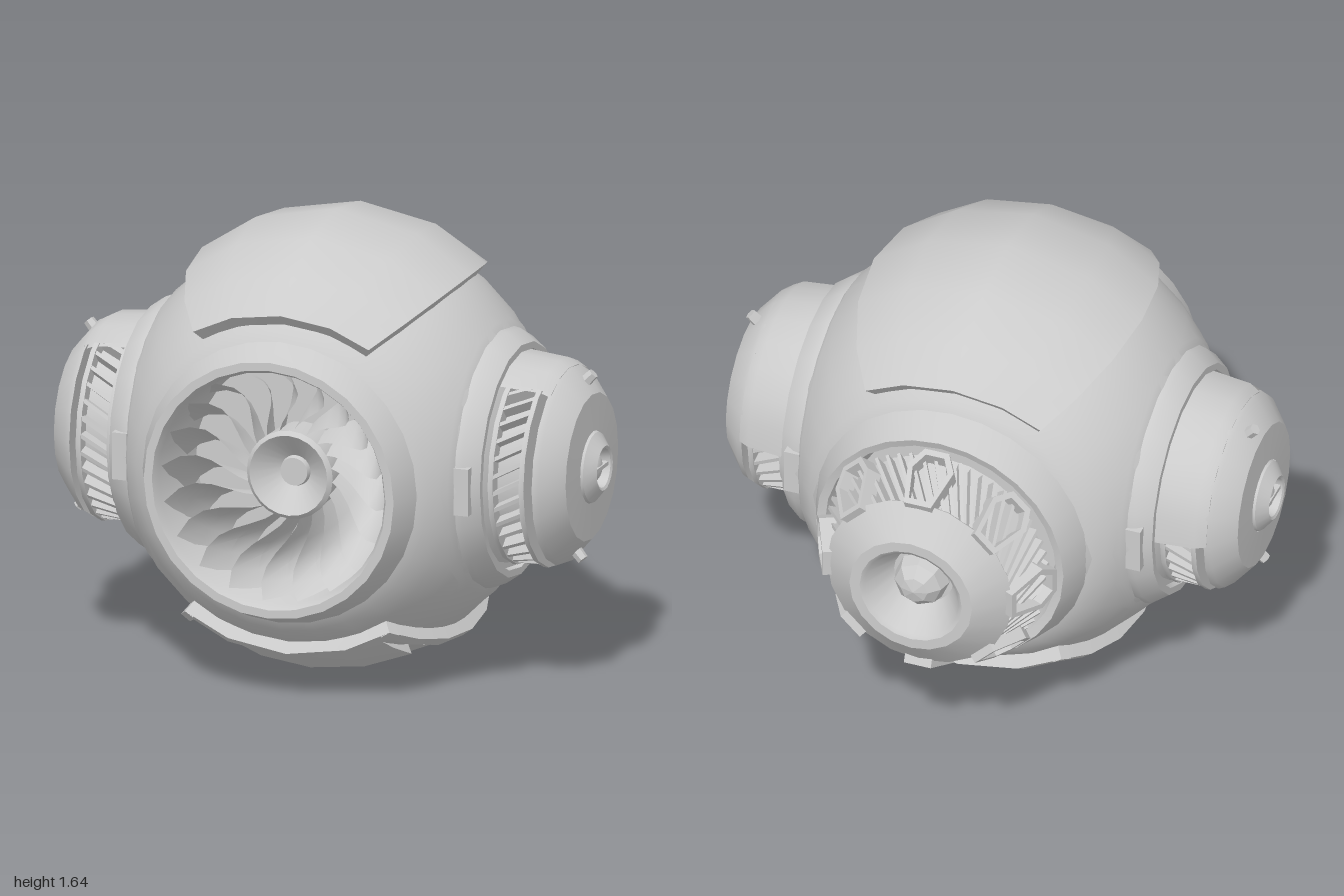
import * as THREE from 'three';
import { toCreasedNormals } from 'three/addons/utils/BufferGeometryUtils.js';

const material = new THREE.MeshStandardMaterial({ color: 0xcccccc, side: THREE.DoubleSide });
const V = (p) => p.map(([x, y]) => new THREE.Vector2(x, y));
const crease = (g, a = 0.55) => toCreasedNormals(g, a);

// Turned parts: profiles are [radius, distance along the axis]
const turnZ = (profile, sides = 24) => crease(new THREE.LatheGeometry(V(profile), sides).rotateX(Math.PI / 2));
const turnX = (profile, sides = 20, start = 0, sweep = Math.PI * 2) =>
  crease(new THREE.LatheGeometry(V(profile), sides, start, sweep).rotateZ(-Math.PI / 2));

function add(parent, name, geometry) {
  const mesh = new THREE.Mesh(geometry, material);
  mesh.name = name;
  parent.add(mesh);
}

// Mirror a non-indexed geometry in x, keeping the faces outward
function mirrorX(geometry) {
  const g = geometry.clone().scale(-1, 1, 1);
  for (const key of ['position', 'normal']) {
    const a = g.attributes[key].array;
    for (let i = 0; i < a.length; i += 9) {
      for (let k = 0; k < 3; k++) [a[i + k], a[i + 6 + k]] = [a[i + 6 + k], a[i + k]];
    }
  }
  return g;
}

// A box bent onto the sphere: u runs in x, v in z, radius gives the thickness
function shellPatch({ u = [-1, 1], v = [-1, 1], nu = 4, nv = 6, inner, outer, a, ca, b, cb, chevron = 0 }) {
  const g = new THREE.BoxGeometry(2, 1, 2, nu, 1, nv);
  const p = g.attributes.position;
  const q = new THREE.Vector3();
  for (let i = 0; i < p.count; i++) {
    const s = (p.getX(i) + 1) / 2, t = (p.getZ(i) + 1) / 2;
    const U = u[0] + (u[1] - u[0]) * s;
    const W = v[0] + (v[1] - v[0]) * t + chevron * Math.abs(U);
    const r = p.getY(i) > 0 ? outer(U, W, t) : inner;
    q.set(U * a * (1 - ca * W * W), 1, W * b * (1 + cb * U * U)).setLength(r);
    p.setXYZ(i, q.x, q.y, q.z);
  }
  g.computeVertexNormals();
  return crease(g);
}

function buildBody(root) {
  // Hull with front and rear collars
  const R = 0.765, profile = [[0, -0.52], [0.38, -0.52], [0.43, -0.67], [0.46, -0.68], [0.505, -0.56]];
  for (let i = 0; i <= 14; i++) {
    const t = -0.79 + (1.57 * i) / 14;
    profile.push([R * Math.cos(t), R * Math.sin(t)]);
  }
  profile.push([0.51, 0.56], [0.465, 0.67], [0.435, 0.67], [0.42, 0.64], [0.4, 0.32], [0, 0.32]);
  add(root, 'hull', turnZ(profile, 28));

  // Raised top cover
  add(root, 'topCover', shellPatch({
    inner: 0.7, outer: (u, v) => 0.84 - 0.022 * Math.max(u * u, v * v), a: 0.77, ca: 0.17, b: 0.92, cb: 0.17,
  }));

  // Belly frame and overlapping belly plates
  const belly = { inner: 0.68, a: 0.8, ca: 0.1, b: 0.78, cb: 0.18 };
  const rim = { ...belly, outer: () => 0.812 };
  const frame = new THREE.Group();
  frame.name = 'bellyFrame';
  root.add(frame);
  for (const s of [-1, 1]) {
    const span = s > 0 ? [0.89, 1] : [-1, -0.89];
    add(frame, 'sideBar', shellPatch({ ...rim, u: span, nu: 1 }).rotateZ(Math.PI));
    add(frame, 'crossBar', shellPatch({ ...rim, v: span, nv: 1 }).rotateZ(Math.PI));
  }
  for (let i = 0; i < 4; i++) {
    const v = 0.85 - i * 0.41;
    add(root, 'bellyPlate', shellPatch({
      ...belly, u: [-0.66, 0.66], v: [v - 0.42, v], nv: 2, chevron: -0.12,
      outer: (u, w, t) => 0.798 - 0.04 * t,
    }).rotateZ(Math.PI));
  }
}

function buildTurbine(root) {
  const turbine = new THREE.Group();
  turbine.name = 'frontTurbine';
  root.add(turbine);
  // Dished hub
  add(turbine, 'hub', turnZ([[0.155, 0.31], [0.16, 0.46], [0.145, 0.475], [0.055, 0.40], [0.05, 0.42], [0, 0.42]]));
  // Swirled blades, deep at the tip and shallow at the hub
  const count = 20;
  for (let k = 0; k < count; k++) {
    const g = new THREE.PlaneGeometry(1, 1, 6, 2);
    const p = g.attributes.position;
    for (let i = 0; i < p.count; i++) {
      const s = p.getX(i) + 0.5, t = 0.5 - p.getY(i);
      const r = 0.145 + 0.27 * s;
      const angle = (k / count) * Math.PI * 2 - 0.5 * Math.sin(s * 2.2) + 0.28 * t * (0.4 + s);
      p.setXYZ(i, r * Math.cos(angle), r * Math.sin(angle), 0.46 + 0.17 * s * s - t * (0.12 + 0.1 * s));
    }
    g.computeVertexNormals();
    add(turbine, 'blade', crease(g));
  }
}

function buildRear(root) {
  const rear = new THREE.Group();
  rear.name = 'rearVent';
  root.add(rear);
  add(rear, 'core', turnZ([[0.27, -0.9], [0.37, -0.64]]));
  // Lay a part on the cone: its y points rearward, its z outward
  const place = (g, radius, angle) =>
    crease(g.rotateX(-Math.PI / 2 - 0.44).translate(0, radius, -0.78).rotateZ(angle));
  // Slanted fins
  for (let k = 0; k < 56; k++) {
    const fin = new THREE.BoxGeometry(0.012, 0.24, 0.05).rotateZ(0.5);
    add(rear, 'fin', place(fin, 0.345, (k / 56) * Math.PI * 2));
  }
  // Hexagonal window frames
  const hex = [[-0.045, -0.11], [0.045, -0.11], [0.085, -0.04], [0.05, 0.11], [-0.05, 0.11], [-0.085, -0.04]];
  for (let k = 0; k < 8; k++) {
    const shape = new THREE.Shape(V(hex));
    shape.holes.push(new THREE.Path(V(hex.map(([x, y]) => [x * 0.76, y * 0.8]))));
    const frame = new THREE.ExtrudeGeometry(shape, { depth: 0.06, bevelEnabled: false });
    add(rear, 'windowFrame', place(frame, 0.345, (k / 8) * Math.PI * 2));
  }
  // End cup with a faceted ball
  add(rear, 'endCup', turnZ([[0, -0.84], [0.11, -0.84], [0.175, -0.96], [0.19, -0.97], [0.228, -0.97],
    [0.345, -0.88], [0.335, -0.865], [0.25, -0.85]], 20));
  add(rear, 'endBall', crease(new THREE.SphereGeometry(0.1, 8, 6).rotateX(Math.PI / 2).translate(0, 0, -0.85), 0.2));
}

function podParts() {
  const parts = [];
  const put = (name, g) => parts.push([name, g]);
  // Mounting ring blended into the hull
  put('mountRing', turnX([[0.57, 0.5], [0.485, 0.595], [0.46, 0.61], [0.455, 0.635], [0.415, 0.69], [0.39, 0.69],
    [0.385, 0.67], [0.3, 0.67]]));
  for (const s of [-1, 1]) {
    put('sideClip', crease(new THREE.BoxGeometry(0.055, 0.17, 0.045).translate(0.635, 0, s * 0.435)));
  }
  // Slatted drum
  put('drumCore', turnX([[0.315, 0.66], [0.315, 0.83], [0, 0.83]]));
  for (const x of [0.7, 0.815]) {
    put('drumRail', turnX([[0.31, x], [0.365, x], [0.365, x + 0.018], [0.31, x + 0.018]]));
  }
  for (let k = 0; k < 36; k++) {
    put('slat', crease(new THREE.BoxGeometry(0.135, 0.045, 0.014).rotateY(0.5)
      .translate(0.765, 0.335, 0).rotateX((k / 36) * Math.PI * 2)));
  }
  // Cover over the upper rear of the drum
  put('drumCover', turnX([[0.368, 0.68], [0.388, 0.68], [0.373, 0.83], [0.352, 0.868], [0.335, 0.868],
    [0.355, 0.83], [0.368, 0.68]], 8, Math.PI, 2.11));
  // End cap, hub nut and slotted ball
  put('endCap', turnX([[0.2, 0.875], [0.33, 0.865], [0.355, 0.86], [0.345, 0.882], [0.262, 0.952], [0.13, 0.957]]));
  put('axle', turnX([[0.2, 0.82], [0.2, 0.89]]));
  put('hubNut', turnX([[0.13, 0.95], [0.125, 0.965], [0.08, 1.0], [0.07, 0.995], [0.066, 0.945], [0, 0.945]]));
  put('hubBall', crease(new THREE.SphereGeometry(0.06, 16, 10).scale(0.7, 1, 1).translate(0.945, 0, 0)));
  put('hubBar', crease(new THREE.BoxGeometry(0.05, 0.014, 0.13).translate(0.965, 0, 0)));
  // Cap bolts
  for (const angle of [-0.16, Math.PI - 0.16]) {
    put('bolt', crease(new THREE.CylinderGeometry(0.02, 0.023, 0.05, 6).rotateZ(-0.75)
      .translate(0.922, 0.31, 0).rotateX(angle)));
  }
  return parts;
}

export function createModel() {
  const model = new THREE.Group();
  model.name = 'turbineSphere';
  const root = new THREE.Group();
  root.name = 'body';
  root.position.set(0, 0.8, 0.15);
  model.add(root);
  buildBody(root);
  buildTurbine(root);
  buildRear(root);
  // Matching side pods
  const left = new THREE.Group(), right = new THREE.Group();
  left.name = 'leftPod';
  right.name = 'rightPod';
  root.add(left, right);
  for (const [name, g] of podParts()) {
    add(left, name, g);
    add(right, name, mirrorX(g));
  }
  return model;
}
